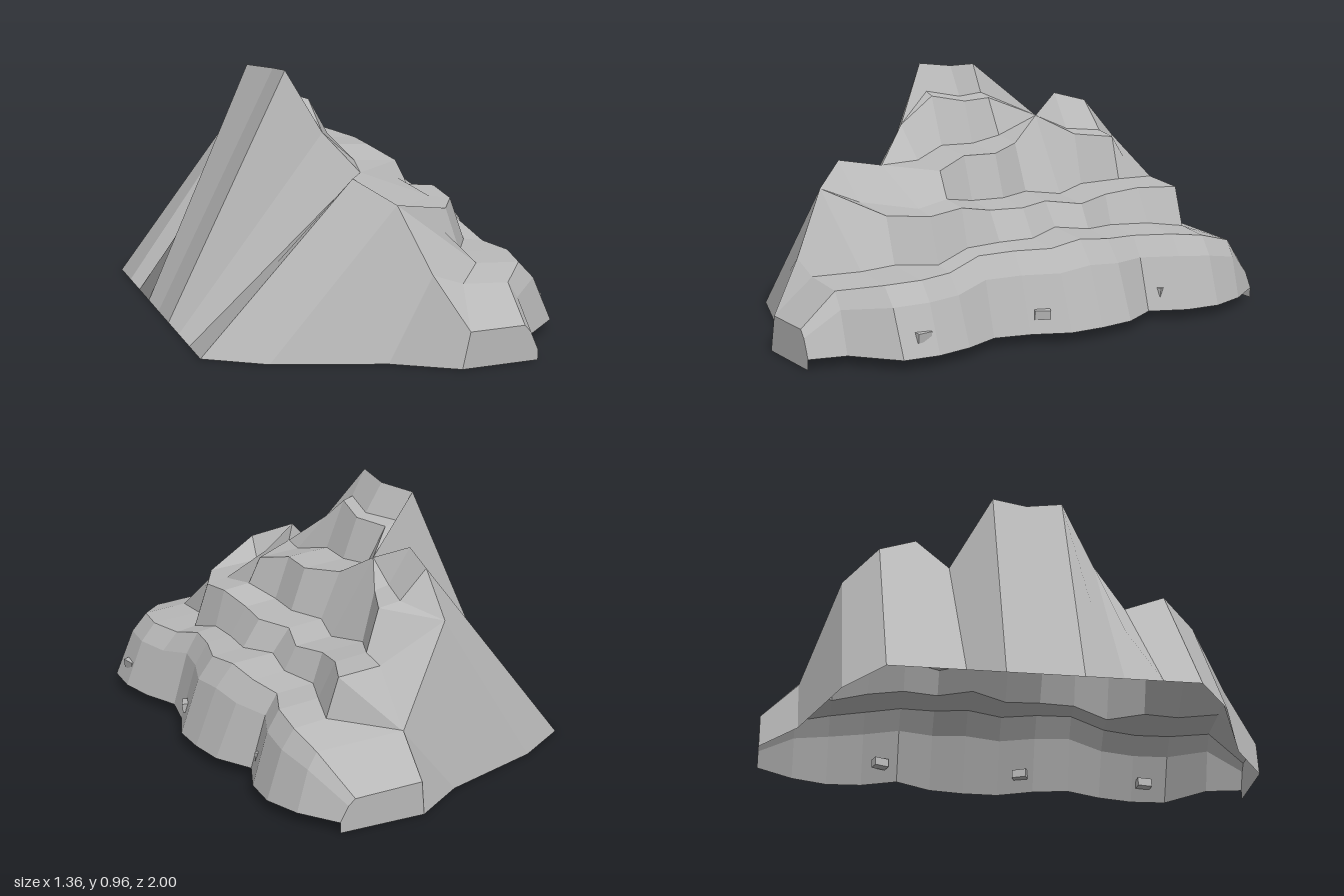
import * as THREE from 'three';

const stone = new THREE.MeshStandardMaterial({ color: 0xb8b8b8, side: THREE.DoubleSide });
stone.name = 'grey stone';

// Fifteen evenly spaced slices along z, from -1 to 1
const COUNT = 15;
const zAt = (i) => -1 + (2 * i) / (COUNT - 1);

const backFoot = [0.16, -0.05, -0.46, -0.68, -0.68, -0.68, -0.68, -0.68, -0.68, -0.68, -0.68, -0.68, -0.46, -0.05, 0.18];
const frontFoot = [0.5, 0.6, 0.65, 0.64, 0.58, 0.66, 0.68, 0.68, 0.62, 0.59, 0.65, 0.68, 0.67, 0.51, 0.48];

// Ridge line: x, y per slice
const ridge = [
  [0.17, 0.13], [0.17, 0.27], [-0.08, 0.61], [-0.08, 0.77], [-0.09, 0.81],
  [-0.01, 0.74], [-0.26, 0.93], [-0.2, 0.94], [-0.2, 0.96], [-0.1, 0.74],
  [0, 0.61], [-0.085, 0.63], [0.035, 0.555], [0.12, 0.32], [0.21, 0.14],
];

// Ledges: first slice, then inner x, outer x, height; elsewhere a ledge merges into the ridge
const ledges = [
  { first: 6, rows: [[-0.2, -0.14, 0.82], [-0.13, -0.09, 0.825], [-0.145, -0.105, 0.855]] },
  { first: 3, rows: [
    [0.03, 0.12, 0.66], [0, 0.06, 0.675], null, [-0.06, 0.06, 0.665],
    [-0.03, 0.14, 0.65], [-0.03, 0.14, 0.655], [0.03, 0.2, 0.62]] },
  { first: 2, rows: [
    [0.19, 0.36, 0.48], [0.17, 0.3, 0.48], [0.11, 0.28, 0.465], [0.17, 0.32, 0.45],
    [0.14, 0.28, 0.47], [0.2, 0.34, 0.47], [0.2, 0.33, 0.475], [0.25, 0.36, 0.505],
    [0.285, 0.37, 0.49], [0.08, 0.29, 0.495]] },
  { first: 0, rows: [
    [0.17, 0.44, 0.135], [0.17, 0.52, 0.275], [0.41, 0.54, 0.315], [0.37, 0.53, 0.335],
    [0.32, 0.47, 0.335], [0.37, 0.5, 0.345], [0.35, 0.52, 0.365], [0.41, 0.54, 0.35],
    [0.4, 0.5, 0.35], [0.4, 0.48, 0.345], [0.43, 0.51, 0.305], [0.35, 0.55, 0.305],
    [0.355, 0.53, 0.3], [0.24, 0.42, 0.275], [0.21, 0.425, 0.154]] },
];

// Point where the lowest cliff bulges outward
const bulge = (a, b) => [a[0] + (b[0] - a[0]) * 0.45, a[1] + (b[1] - a[1]) * 0.28];

// Cross-section of one slice, from the back foot over the ridge to the front foot
function profile(i) {
  const steps = ledges.map(({ first, rows }) => {
    const r = rows[i - first];
    return r ? [[r[0], r[2]], [r[1], r[2] - 0.014]] : [ridge[i], ridge[i]];
  });
  if (i === 0 || i === COUNT - 1) steps[3][0] = ridge[i];
  const foot = [frontFoot[i], 0.04];
  return [[backFoot[i], 0], ridge[i], ...steps.flat(), bulge(steps[3][1], foot), foot];
}

const profiles = Array.from({ length: COUNT }, (_, i) => profile(i).map(([x, y]) => new THREE.Vector3(x, y, zAt(i))));

// Lofted strip from profile point k to m; each patch is one facet fanned from its centre
function band(name, k, m) {
  const pos = [], nor = [];
  for (let i = 0; i < COUNT - 1; i++) {
    for (let j = k; j < m; j++) {
      const quad = [profiles[i][j], profiles[i + 1][j], profiles[i + 1][j + 1], profiles[i][j + 1]];
      const [a, b, c, d] = quad;
      const n = c.clone().sub(a).cross(d.clone().sub(b)).normalize();
      const centre = a.clone().add(b).add(c).add(d).multiplyScalar(0.25);
      quad.forEach((p, s) => {
        const q = quad[(s + 1) % 4];
        if (new THREE.Triangle(p, q, centre).getArea() < 1e-7) return;
        for (const v of [p, q, centre]) {
          pos.push(v.x, v.y, v.z);
          nor.push(n.x, n.y, n.z);
        }
      });
    }
  }
  const geo = new THREE.BufferGeometry();
  geo.setAttribute('position', new THREE.Float32BufferAttribute(pos, 3));
  geo.setAttribute('normal', new THREE.Float32BufferAttribute(nor, 3));
  const mesh = new THREE.Mesh(geo, stone);
  mesh.name = name;
  return mesh;
}

// Flat wall closing one end, reaching the ground; side is -1 or 1 along z
function endWall(name, i, side) {
  const pts = profiles[i];
  const outline = [
    [backFoot[i], 0], [frontFoot[i], 0], [frontFoot[i], 0.04],
    [pts[10].x, pts[10].y], [pts[9].x, pts[9].y], ridge[i],
  ].map(([x, y]) => new THREE.Vector2(x * side, y));
  const mesh = new THREE.Mesh(new THREE.ShapeGeometry(new THREE.Shape(outline)), stone);
  mesh.rotation.y = side < 0 ? Math.PI : 0;
  mesh.position.z = side;
  mesh.name = name;
  return mesh;
}

export function createModel() {
  const model = new THREE.Group();
  model.name = 'terracedCliff';
  model.add(
    band('backSlope', 0, 1),
    band('summitCliff', 1, 2),
    band('summitLedge', 2, 3),
    band('upperCliff', 3, 4),
    band('upperLedge', 4, 5),
    band('middleCliff', 5, 6),
    band('middleLedge', 6, 7),
    band('lowerCliff', 7, 8),
    band('lowerLedge', 8, 9),
    band('footCliff', 9, 11),
    endWall('rightEndWall', 0, -1),
    endWall('leftEndWall', COUNT - 1, 1),
  );

  // Small stones stuck in the lowest cliff
  for (const [x, y, z, turn] of [[0.638, 0.11, 0.62, 0.15], [0.615, 0.112, 0.09, -0.45], [0.56, 0.11, -0.5, 0.4]]) {
    const rock = new THREE.Mesh(new THREE.BoxGeometry(0.035, 0.035, 0.06), stone);
    rock.position.set(x, y, z);
    rock.rotation.set(0, turn, -0.1);
    rock.name = 'smallRock';
    model.add(rock);
  }
  return model;
}
